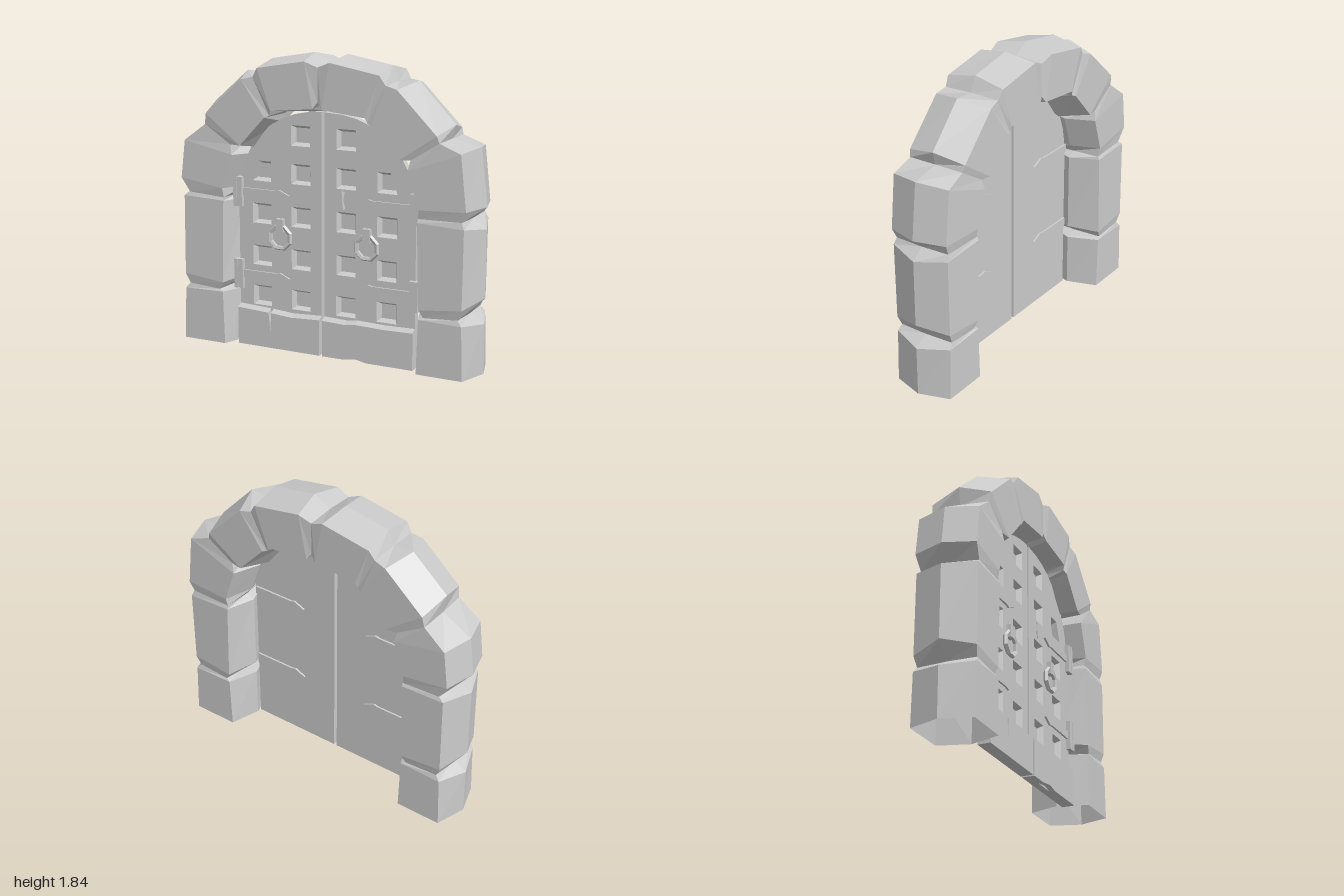
import * as THREE from 'three';

const DEPTH = 0.19;
const mat = new THREE.MeshStandardMaterial({ color: 0xcccccc, flatShading: true });
const open = new THREE.MeshStandardMaterial({ color: 0xcccccc, flatShading: true, side: THREE.DoubleSide });

function add(parent, name, geometry, material = mat) {
  const mesh = new THREE.Mesh(geometry, material);
  mesh.name = name;
  parent.add(mesh);
  return mesh;
}

function box(parent, name, w, h, d, x, y, z) {
  add(parent, name, new THREE.BoxGeometry(w, h, d)).position.set(x, y, z);
}

// Skin closed rings of points, open at both ends
function loft(rings) {
  const pos = [];
  const tri = (...pts) => pts.forEach((p) => pos.push(p.x, p.y, p.z));
  const n = rings[0].length;
  for (let i = 0; i < rings.length - 1; i++) {
    for (let j = 0; j < n; j++) {
      const k = (j + 1) % n;
      const [a, b, c, d] = [rings[i][j], rings[i][k], rings[i + 1][k], rings[i + 1][j]];
      tri(a, d, b);
      tri(b, d, c);
    }
  }
  const g = new THREE.BufferGeometry();
  g.setAttribute('position', new THREE.Float32BufferAttribute(pos, 3));
  g.computeVertexNormals();
  return g;
}

const toShape = (pts, s = 1) => new THREE.Shape(pts.map(([x, y]) => new THREE.Vector2(x * s, y)));

function slab(shape, z0, z1) {
  return new THREE.ExtrudeGeometry(shape, { depth: z1 - z0, bevelEnabled: false }).translate(0, 0, z0);
}

// Half arch from the ground to the crown: outer x, y, inner x, y.
// Each stone has a lower and an upper section; a pinched joint follows it.
const rightHalf = [
  [1, 0.01, 0.59, 0.01], [1, 0.315, 0.59, 0.34], [0.91, 0.37, 0.68, 0.355],
  [1, 0.47, 0.59, 0.42], [1, 0.88, 0.59, 0.91], [0.925, 0.945, 0.64, 0.94],
  [1, 1.01, 0.6, 0.99], [0.96, 1.355, 0.53, 1.19], [0.78, 1.39, 0.59, 1.27],
  [0.8, 1.47, 0.46, 1.24], [0.57, 1.71, 0.33, 1.41], [0.44, 1.7, 0.32, 1.46],
  [0.4, 1.79, 0.3, 1.48], [0.11, 1.84, 0.03, 1.49], [0, 1.78, 0, 1.56],
];
// The left half is the same with a few corners shifted
const leftHalf = rightHalf.map((r) => [...r]);
leftHalf[4] = [1, 0.92, 0.59, 0.91];
leftHalf[5] = [0.9, 0.955, 0.64, 0.94];
leftHalf[6] = [1, 1.05, 0.6, 0.99];
leftHalf[7] = [0.97, 1.29, 0.53, 1.2];
leftHalf[9] = [0.8, 1.51, 0.46, 1.24];
// Bevel width and how far the face corners lean to the joint, per stone
const insets = [0.06, 0.06, 0.055, 0.055, 0.03];
const leans = [0.35, 0.35, 0, 0.25, 0.2];

// Six-sided section: ridges in the middle, flat front and back
function section([ox, oy, ix, iy], side, inset, depth, joint, lean) {
  const o = new THREE.Vector2(ox, oy), i = new THREE.Vector2(ix, iy);
  const step = i.clone().sub(o).setLength(inset);
  const of = o.clone().add(step), inf = i.clone().sub(step);
  if (joint) {
    of.lerp(new THREE.Vector2(joint[0], joint[1]), lean);
    inf.lerp(new THREE.Vector2(joint[2], joint[3]), lean);
  }
  const v = (p, z) => new THREE.Vector3(p.x * side, p.y, z);
  return [v(o, 0), v(of, depth), v(inf, depth), v(i, 0), v(inf, -depth), v(of, -depth)];
}

function buildStones(parent, half, side) {
  for (let k = 0; k < 5; k++) {
    const below = half[3 * k - 1], above = half[3 * k + 2];
    const rings = [
      section(half[3 * k], side, insets[k], DEPTH, below, leans[k]),
      section(half[3 * k + 1], side, insets[k], DEPTH, above, leans[k]),
      section(above, side, 0.008, DEPTH - 0.01),
    ];
    if (below) rings.unshift(section(below, side, 0.008, DEPTH - 0.01));
    if (side < 0) rings.reverse();
    add(parent, k < 2 ? 'pillarStone' : 'archStone', loft(rings), open);
  }
}

const BACK = 0.037, FLOOR = 0.048, FACE = 0.083;

// Outline of one leaf: straight side, full round top, cut at the middle seam
function leafShape(side, seam) {
  const pts = [[seam, 0], [0.595, 0]];
  const power = 2 / 2.25;
  for (let i = 0; i <= 10; i++) {
    const a = (Math.PI / 2) * (i / 10);
    const x = 0.595 * Math.cos(a) ** power;
    pts.push([Math.max(x, seam), 0.9 + 0.597 * Math.sin(a) ** power]);
  }
  if (seam < 0) pts.push([seam, 1.497]);
  return toShape(pts, side);
}

function buildLeaf(side) {
  const leaf = new THREE.Group();
  leaf.name = side > 0 ? 'leftDoor' : 'rightDoor';
  const seam = side > 0 ? -0.005 : 0.025;
  const shift = side > 0 ? -0.025 : 0;

  // Thin back slab and front layer pierced by the square recesses
  add(leaf, 'doorSlab', slab(leafShape(side, seam), BACK, FLOOR));
  const front = leafShape(side, seam);
  const quads = [];
  [0.26, 0.515, 0.78, 1.045, 1.28].forEach((y, row) => {
    [0.1, 0.37].forEach((x, col) => {
      if (row === 4 && col) return;
      const x0 = x + shift, x1 = x0 + 0.13, y1 = y + 0.125;
      const cut = row === 3 && col ? 0.045 : 0;
      quads.push([[x0, y], [x1, y], [x1 - cut, y1], [x0, y1]]);
    });
  });
  for (const q of quads) {
    front.holes.push(toShape(q, side));
    const cx = q.reduce((s, p) => s + p[0], 0) / 4, cy = q.reduce((s, p) => s + p[1], 0) / 4;
    const ring = (f, z) => q.map(([x, y]) => new THREE.Vector3((cx + (x - cx) * f) * side, cy + (y - cy) * f, z));
    add(leaf, 'recess', loft([ring(1, FACE), ring(0.72, FLOOR + 0.001)]), open);
  }
  // Cracks in the wood
  const crack = side > 0
    ? [[0.12, 0.915], [0.135, 0.93], [0.122, 0.98], [0.13, 1.03], [0.11, 1.035], [0.113, 0.98]]
    : [[0.4, 1.38], [0.385, 1.35], [0.3, 1.305], [0.375, 1.325]];
  front.holes.push(toShape(crack, side));
  add(leaf, 'doorFront', slab(front, FLOOR, FACE));

  // Bottom board with a sloping, worn top edge
  const board = side > 0
    ? [[seam, 0], [0.12, 0], [0.22, 0.014], [0.29, 0], [0.595, 0], [0.595, 0.23], [0.4, 0.225], [0.22, 0.23], [0.15, 0.22], [seam, 0.225]]
    : [[seam, 0], [0.595, 0], [0.595, 0.235], [0.378, 0.225], [0.366, 0.1], [0.36, 0.225], [0.22, 0.215], [seam, 0.225]];
  const boardGeo = slab(toShape(board, side), FACE, 0.116);
  const p = boardGeo.attributes.position;
  for (let i = 0; i < p.count; i++) {
    if (p.getY(i) > 0.15 && p.getZ(i) < 0.1) p.setY(i, p.getY(i) + 0.02);
  }
  boardGeo.computeVertexNormals();
  add(leaf, 'bottomBoard', boardGeo);

  // Hinges with pointed straps on both faces
  const tip = side > 0 ? 0.22 : 0.24;
  for (const y of [0.45, 0.97]) {
    const strap = toShape([[0.59, y - 0.025], [tip + 0.1, y - 0.025], [tip + 0.07, y - 0.032], [tip, y],
      [tip + 0.07, y + 0.032], [tip + 0.1, y + 0.025], [0.59, y + 0.025]], side);
    add(leaf, 'frontStrap', slab(strap, FACE, FACE + 0.012));
    add(leaf, 'backStrap', slab(strap, BACK - 0.012, BACK));
    box(leaf, 'hingePlate', 0.035, 0.185, 0.04, side * 0.58, y, 0.09);
    box(leaf, 'hingePin', 0.025, 0.185, 0.05, side * 0.609, y, 0.088);
  }

  // Ring handle
  const hx = side > 0 ? 0.285 : -0.3;
  box(leaf, 'handleBracket', 0.05, 0.08, 0.035, hx, 0.785, 0.096);
  const ring = add(leaf, 'handleRing', new THREE.TorusGeometry(0.072, 0.015, 5, 8));
  ring.position.set(hx, 0.71, 0.098);
  ring.rotation.z = Math.PI / 8;
  return leaf;
}

export function createModel() {
  const model = new THREE.Group();
  model.name = 'archedGate';
  const arch = new THREE.Group();
  arch.name = 'stoneArch';
  buildStones(arch, rightHalf, 1);
  buildStones(arch, leftHalf, -1);
  model.add(arch, buildLeaf(1), buildLeaf(-1));
  return model;
}
